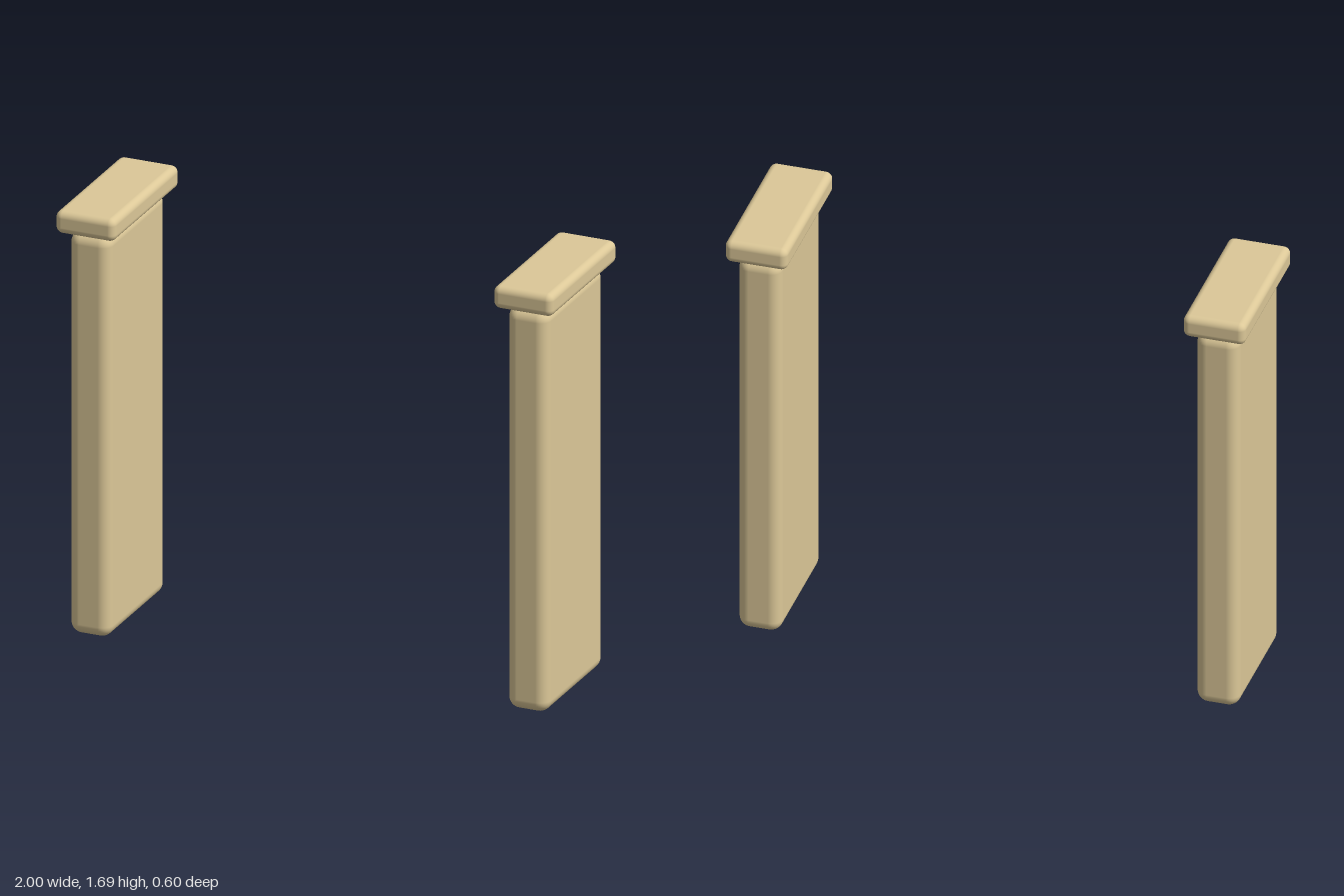
import * as THREE from 'three';
import { RoundedBoxGeometry } from 'three/addons/geometries/RoundedBoxGeometry.js';

export function createModel() {
  const model = new THREE.Group();
  const stone = new THREE.MeshStandardMaterial({ color: 0xdcc898 });

  // Rounded block standing on height y
  function block(name, w, h, d, y, radius) {
    const mesh = new THREE.Mesh(new RoundedBoxGeometry(w, h, d, 5, radius), stone);
    mesh.name = name;
    mesh.position.y = y + h / 2;
    return mesh;
  }

  // A pair of matching pillars, each a tall slab with an overhanging cap
  for (const side of [-1, 1]) {
    const pillar = new THREE.Group();
    pillar.name = side > 0 ? 'leftPillar' : 'rightPillar';
    pillar.add(
      block('shaft', 0.165, 1.6, 0.524, 0, 0.045),
      block('cap', 0.24, 0.09, 0.596, 1.6, 0.027)
    );
    pillar.position.x = side * 0.88;
    model.add(pillar);
  }
  return model;
}
